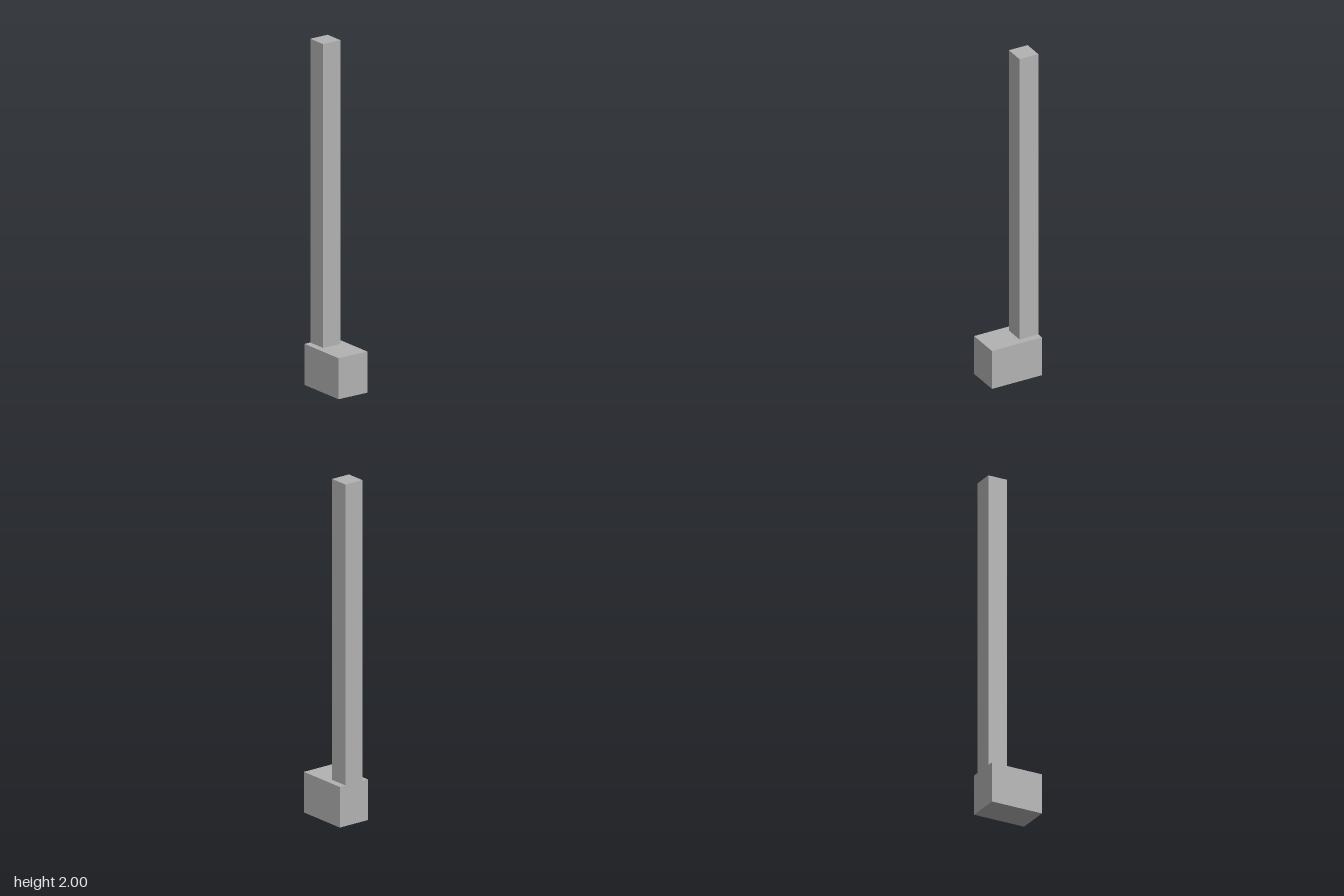
import * as THREE from 'three';

export function createModel() {
  const group = new THREE.Group();
  const grey = new THREE.MeshStandardMaterial({ color: 0xb2b2b2 });
  grey.name = 'grey';

  const baseHeight = 0.238, baseDepth = 0.317, postSide = 0.119;

  // Box standing on height y, with its back face at the base's back
  function addBox(name, width, height, depth, y) {
    const mesh = new THREE.Mesh(new THREE.BoxGeometry(width, height, depth), grey);
    mesh.name = name;
    mesh.position.set(0, y + height / 2, (depth - baseDepth) / 2);
    group.add(mesh);
  }

  // Block foot, and a tall square post flush with its back
  addBox('base', 0.199, baseHeight, baseDepth, 0);
  addBox('post', postSide, 2 - baseHeight, postSide, baseHeight);

  return group;
}
